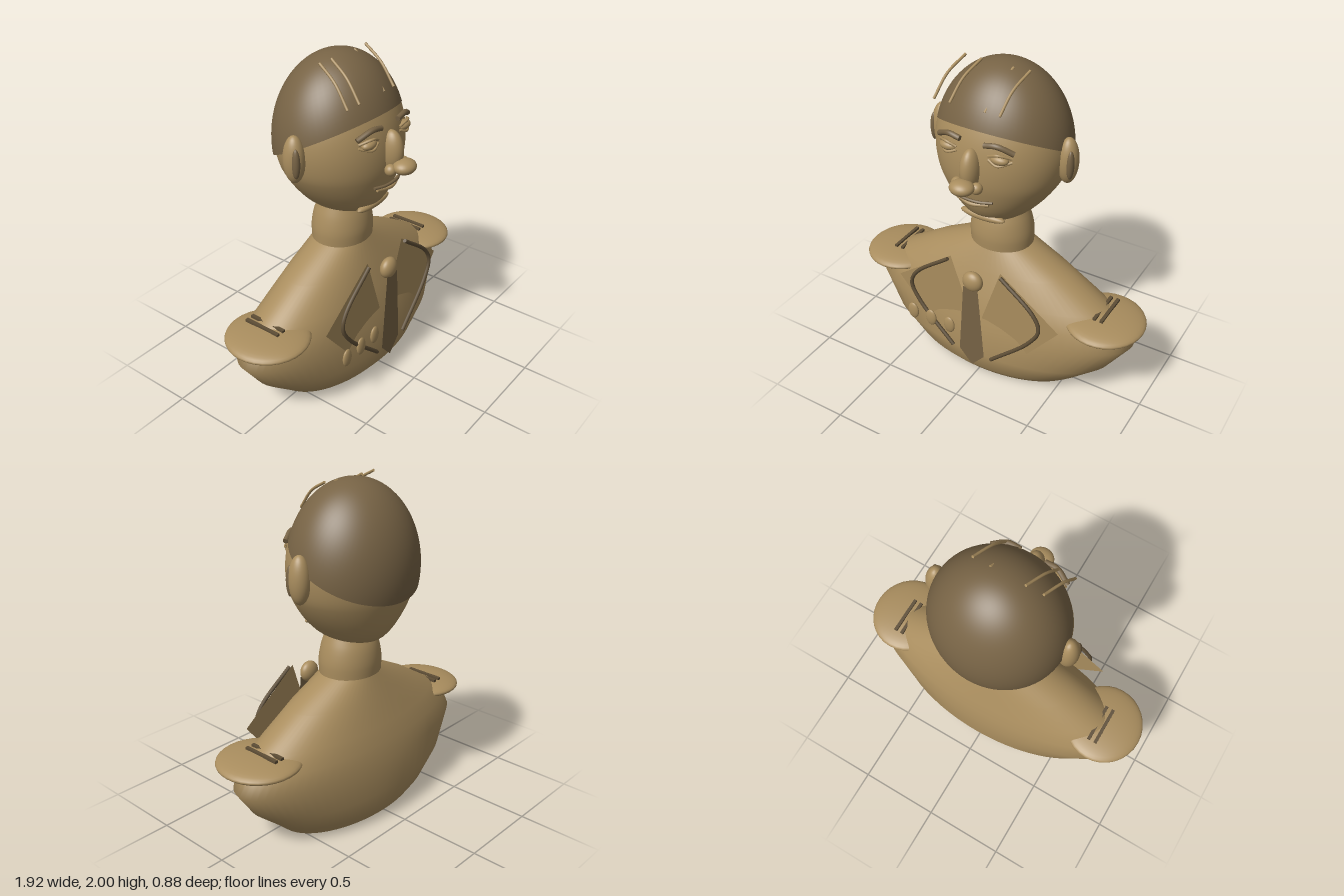
import * as THREE from 'three';
import { mergeVertices } from 'three/addons/utils/BufferGeometryUtils.js';

const V = (p) => new THREE.Vector3(...p);

export function createModel() {
  const model = new THREE.Group();
  const mat = (name, color, side = THREE.FrontSide) => {
    const m = new THREE.MeshStandardMaterial({ color, side });
    m.name = name;
    return m;
  };
  const bronze = mat('bronze', 0xa98d5e, THREE.DoubleSide);
  const darkBronze = mat('dark bronze', 0x776345, THREE.DoubleSide);
  const trimBronze = mat('deep bronze', 0x5e4e36);

  const add = (name, geometry, material) => {
    const mesh = new THREE.Mesh(geometry, material);
    mesh.name = name;
    model.add(mesh);
    return mesh;
  };
  const ellipsoid = (name, pos, radii, material = bronze) => {
    const mesh = add(name, new THREE.SphereGeometry(1, 32, 20), material);
    mesh.position.set(...pos);
    mesh.scale.set(...radii);
    return mesh;
  };
  const tube = (name, points, radius, material) => {
    const curve = new THREE.CatmullRomCurve3(points.map(V));
    const mesh = add(name, new THREE.TubeGeometry(curve, 24, radius, 8), material);
    // flat ends
    for (const t of [0, 1]) {
      const cap = new THREE.Mesh(new THREE.CircleGeometry(radius, 8), material);
      cap.name = name + 'End';
      cap.position.copy(curve.getPointAt(t));
      cap.lookAt(cap.position.clone().addScaledVector(curve.getTangentAt(t), t ? 1 : -1));
      mesh.add(cap);
    }
    return mesh;
  };
  const plate = (name, corners, z, material) => {
    const mesh = add(name, new THREE.ShapeGeometry(new THREE.Shape(corners.map((c) => new THREE.Vector2(...c)))), material);
    mesh.position.z = z;
    return mesh;
  };

  // Elliptical rings, listed from top to bottom: [y, half width, front z, back z]
  const loft = (name, rows, smooth, material) => {
    const a = new THREE.CatmullRomCurve3(rows.map(([y, w]) => new THREE.Vector3(w, y, 0)));
    const b = new THREE.CatmullRomCurve3(rows.map(([y, , f, k]) => new THREE.Vector3(f, y, k)));
    const n = (rows.length - 1) * smooth;
    const g = new THREE.CylinderGeometry(1, 1, 1, 64, n, true);
    const p = g.attributes.position;
    for (let i = 0; i < p.count; i++) {
      const t = Math.min(1, Math.max(0, Math.round((0.5 - p.getY(i)) * n) / n));
      const s = a.getPoint(t), d = b.getPoint(t);
      p.setXYZ(i, p.getX(i) * Math.max(0, s.x), s.y, (d.x + d.z) / 2 + p.getZ(i) * (d.x - d.z) / 2);
    }
    g.deleteAttribute('uv');
    g.deleteAttribute('normal');
    const merged = mergeVertices(g, 1e-5);
    merged.computeVertexNormals();
    return add(name, merged, material);
  };

  // Chest, open underneath
  loft('torso', [
    [0.87, 0.18, 0.1, -0.21], [0.73, 0.465, 0.165, -0.27], [0.58, 0.71, 0.22, -0.325],
    [0.49, 0.84, 0.25, -0.36], [0.38, 0.895, 0.275, -0.385], [0.2, 0.77, 0.31, -0.41],
    [0.07, 0.62, 0.28, -0.38], [0, 0.545, 0.225, -0.335],
  ], 1, bronze);
  loft('neck', [
    [1.1, 0.155, 0.08, -0.185], [1.03, 0.18, 0.105, -0.215],
    [0.94, 0.197, 0.12, -0.23], [0.86, 0.196, 0.117, -0.228],
  ], 3, bronze);

  // Head and skull cap of hair with a tilted rim
  loft('head', [
    [1.96, 0, -0.075, -0.075], [1.92, 0.18, 0.09, -0.24], [1.8, 0.31, 0.2, -0.35],
    [1.67, 0.375, 0.258, -0.405], [1.555, 0.397, 0.283, -0.425], [1.44, 0.39, 0.288, -0.42],
    [1.34, 0.36, 0.275, -0.4], [1.18, 0.25, 0.22, -0.335], [1.09, 0.145, 0.13, -0.255],
    [1.055, 0, -0.06, -0.06],
  ], 4, bronze);
  const capGeo = new THREE.SphereGeometry(1, 64, 24, 0, Math.PI * 2, 0, 1.49);
  capGeo.rotateX(-0.37);
  capGeo.scale(0.405, 0.5, 0.362);
  capGeo.translate(0, 1.5, -0.078);
  add('hairCap', capGeo, darkBronze);
  for (const [x, dx, y] of [[-0.22, 0.06, 1.995], [-0.12, 0.06, 1.99], [0.08, 0.04, 1.985], [0.18, 0.05, 1.99]]) {
    tube('hairStrand', [[x, y, -0.03], [x - dx * 0.6, y - 0.07, 0.1], [x - dx, 1.81, 0.2]], 0.008, bronze);
  }

  // Nose, mouth and chin
  ellipsoid('noseBridge', [0, 1.5, 0.285], [0.056, 0.125, 0.075]);
  ellipsoid('noseTip', [0, 1.432, 0.375], [0.072, 0.043, 0.064]);
  tube('upperLip', [[-0.125, 1.31, 0.265], [-0.05, 1.307, 0.29], [0.05, 1.307, 0.29], [0.125, 1.31, 0.265]], 0.009, darkBronze);
  tube('lowerLip', [[-0.1, 1.29, 0.265], [0, 1.282, 0.29], [0.1, 1.29, 0.265]], 0.012, bronze);
  ellipsoid('chin', [0, 1.137, 0.168], [0.145, 0.028, 0.035]);

  // Paired parts
  for (const s of [-1, 1]) {
    const side = s > 0 ? 'left' : 'right';
    ellipsoid(side + 'Ear', [s * 0.41, 1.505, -0.06], [0.06, 0.14, 0.064]);
    ellipsoid(side + 'InnerEar', [s * 0.442, 1.5, -0.022], [0.022, 0.088, 0.026], darkBronze);
    ellipsoid(side + 'Nostril', [s * 0.062, 1.418, 0.325], [0.034, 0.034, 0.034]);
    ellipsoid(side + 'Eye', [s * 0.16, 1.587, 0.25], [0.054, 0.028, 0.034]);
    const lid = (name, y, rise) => tube(side + name,
      [[s * 0.1, y, 0.266], [s * 0.16, y + rise, 0.276], [s * 0.225, y, 0.228]], 0.008, bronze);
    lid('UpperLid', 1.6, 0.024);
    lid('LowerLid', 1.578, -0.018);
    tube(side + 'Eyebrow', [[s * 0.075, 1.658, 0.268], [s * 0.15, 1.668, 0.262], [s * 0.235, 1.628, 0.225]], 0.016, darkBronze);

    // Lapel and its rolled edge
    plate(side + 'Lapel', [[s * 0.17, 0.84], [s * 0.555, 0.555], [s * 0.34, 0.29], [s * 0.03, 0.42]], 0.258, bronze);
    tube(side + 'LapelTrim', [
      [s * 0.18, 0.825, 0.276], [s * 0.405, 0.645, 0.285], [s * 0.445, 0.555, 0.29],
      [s * 0.385, 0.44, 0.297], [s * 0.135, 0.2, 0.312],
    ], 0.012, trimBronze);

    // Shoulder pad with two bars
    const pad = ellipsoid(side + 'ShoulderPad', [s * 0.72, 0.525, -0.03], [0.24, 0.05, 0.25]);
    pad.rotation.z = -s * 0.02;
    for (const x of [0.685, 0.73]) {
      const bar = add(side + 'ShoulderBar', new THREE.BoxGeometry(0.02, 0.016, 0.24), trimBronze);
      bar.position.set(s * x, 0.578, -0.06);
    }
  }

  // Necktie
  plate('necktie', [[-0.05, 0.7], [-0.087, 0.2], [0, 0.1], [0.087, 0.2], [0.05, 0.7]], 0.314, darkBronze);
  ellipsoid('tieKnot', [0, 0.735, 0.287], [0.066, 0.066, 0.043]);

  // Medals on the right breast
  for (const x of [-0.43, -0.297, -0.163]) {
    ellipsoid('medal', [x, 0.348, 0.31], [0.038, 0.058, 0.016]);
  }
  return model;
}
